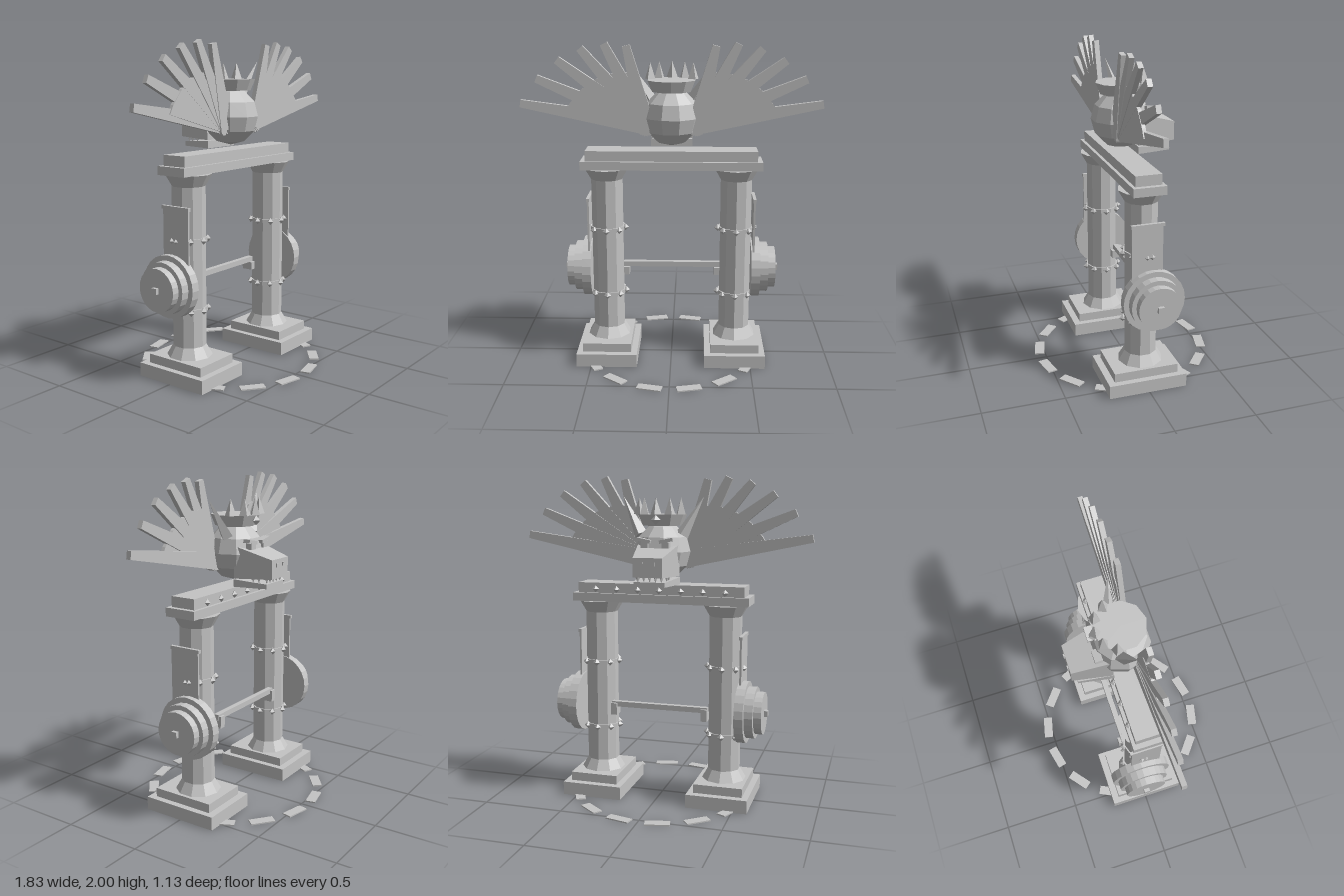
import * as THREE from 'three';

const stone = new THREE.MeshStandardMaterial({ color: 0xc4c4c4 });
stone.name = 'stone grey';

// Adds a faceted mesh to a parent
function add(parent, name, geometry, x = 0, y = 0, z = 0) {
  const g = geometry.index ? geometry.toNonIndexed() : geometry;
  g.computeVertexNormals();
  const mesh = new THREE.Mesh(g, stone);
  mesh.name = name;
  mesh.position.set(x, y, z);
  parent.add(mesh);
  return mesh;
}

// Box given by its limits on each axis
function block(parent, name, x0, x1, y0, y1, z0, z1) {
  return add(parent, name, new THREE.BoxGeometry(x1 - x0, y1 - y0, z1 - z0),
    (x0 + x1) / 2, (y0 + y1) / 2, (z0 + z1) / 2);
}

// Box along z whose two ends differ: each end is [z, halfWidth, yLow, yHigh]
function wedge(parent, name, back, front) {
  const g = new THREE.BoxGeometry(1, 1, 1);
  const p = g.attributes.position;
  for (let i = 0; i < p.count; i++) {
    const [z, w, lo, hi] = p.getZ(i) > 0 ? back : front;
    p.setXYZ(i, Math.sign(p.getX(i)) * w, p.getY(i) > 0 ? hi : lo, z);
  }
  return add(parent, name, g);
}

function stud(parent, name, r, x, y, z) {
  return add(parent, name, new THREE.OctahedronGeometry(r), x, y, z);
}

function plate(parent, name, points, depth, z) {
  const shape = new THREE.Shape(points.map(([x, y]) => new THREE.Vector2(x, y)));
  return add(parent, name,
    new THREE.ExtrudeGeometry(shape, { depth, bevelEnabled: false }), 0, 0, z - depth / 2);
}

// Pillar with stepped foot, studded bands, banner and stacked discs
function pillar(side) {
  const g = new THREE.Group();
  g.name = side > 0 ? 'leftPillar' : 'rightPillar';
  const cx = side * 0.402;
  block(g, 'footSlab', cx - 0.19, cx + 0.19, 0, 0.083, -0.235, 0.25);
  block(g, 'footStep', cx - 0.152, cx + 0.152, 0.083, 0.138, -0.19, 0.208);
  add(g, 'footFlare', new THREE.CylinderGeometry(0.1, 0.138, 0.065, 10), cx, 0.17, 0);
  add(g, 'shaft', new THREE.CylinderGeometry(0.1, 0.1, 1.0, 10), cx, 0.69, 0);
  add(g, 'capital', new THREE.CylinderGeometry(0.14, 0.1, 0.07, 10), cx, 1.2, 0);
  for (const y of [0.425, 0.848]) {
    add(g, 'band', new THREE.CylinderGeometry(0.109, 0.109, 0.026, 10), cx, y, 0);
    for (let i = 0; i < 8; i++) {
      const a = i * Math.PI / 4;
      stud(g, 'bandStud', 0.023, cx + 0.111 * Math.sin(a), y, 0.111 * Math.cos(a));
    }
  }

  // Banner on the outer face
  const b = side * 0.514;
  block(g, 'banner', b - 0.006, b + 0.006, 0.58, 1.04, -0.095, 0.095);
  block(g, 'bannerRod', b - 0.01, b + 0.01, 1.035, 1.055, -0.105, 0.1);
  stud(g, 'bannerNail', 0.018, side * 0.522, 0.85, -0.03);

  // Stacked discs with a square knob
  [[0.19, 0.5, 0.555], [0.158, 0.55, 0.608], [0.13, 0.6, 0.655]].forEach(([r, x0, x1]) => {
    const d = add(g, 'disc', new THREE.CylinderGeometry(r, r, x1 - x0, 24), side * (x0 + x1) / 2, 0.58, -0.035);
    d.rotation.z = Math.PI / 2;
  });
  add(g, 'discKnob', new THREE.BoxGeometry(0.05, 0.036, 0.036), side * 0.652, 0.58, -0.035);

  // Bracket holding the crossbar
  add(g, 'bracket', new THREE.BoxGeometry(0.04, 0.05, 0.07), side * 0.292, 0.54, -0.07);
  add(g, 'bracketLip', new THREE.BoxGeometry(0.04, 0.06, 0.015), side * 0.292, 0.56, -0.1);
  return g;
}

// Fan of six tapering feathers joined by a thinner web
function wing(side) {
  const g = new THREE.Group();
  g.name = side > 0 ? 'leftWing' : 'rightWing';
  const px = 0.15, py = 1.505;
  const at = (angle, along, across) => [
    side * (px + Math.cos(angle) * along - Math.sin(angle) * across),
    py + Math.sin(angle) * along + Math.cos(angle) * across];
  const web = [at(0.17, -0.04, -0.05)];
  for (let i = 0; i < 6; i++) {
    const a = (9.8 + 13.3 * i) * Math.PI / 180;
    const len = 0.77 - 0.056 * i;
    plate(g, 'feather', [at(a, -0.03, -0.056), at(a, len, -0.023), at(a, len, 0.023), at(a, -0.03, 0.056)],
      0.03, 0.051 + 0.004 * i);
    web.push(at(a, len * 0.64, 0));
    if (i < 5) web.push(at(a + 0.116, len * 0.62, 0));
  }
  web.push(at(1.33, -0.03, 0.05));
  plate(g, 'wingWeb', web, 0.022, 0.062);
  return g;
}

function head() {
  const g = new THREE.Group();
  g.name = 'head';
  add(g, 'skull', new THREE.SphereGeometry(0.176, 10, 6), 0, 1.55, 0);
  wedge(g, 'snout', [-0.08, 0.13, 1.405, 1.6], [-0.318, 0.09, 1.415, 1.53]);
  wedge(g, 'lowerJaw', [-0.075, 0.13, 1.355, 1.4], [-0.285, 0.095, 1.357, 1.385]);
  for (let i = -2; i <= 2; i++) {
    const tooth = add(g, 'frontTooth', new THREE.ConeGeometry(0.013, 0.04, 4), i * 0.036, 1.4, -0.272);
    tooth.rotation.x = Math.PI;
  }
  for (const s of [-1, 1]) {
    for (const z of [-0.19, -0.23]) {
      const tooth = add(g, 'sideTooth', new THREE.ConeGeometry(0.012, 0.036, 4), s * 0.092, 1.4, z);
      tooth.rotation.x = Math.PI;
    }
    add(g, 'nostril', new THREE.BoxGeometry(0.022, 0.022, 0.012), s * 0.036, 1.495, -0.319);
    add(g, 'eye', new THREE.BoxGeometry(0.045, 0.035, 0.04), s * 0.065, 1.595, -0.155);
    const brow = add(g, 'brow', new THREE.BoxGeometry(0.085, 0.02, 0.045), s * 0.07, 1.622, -0.155);
    brow.rotation.z = s * 0.2;

    // Ear pointing up and outwards
    const from = new THREE.Vector3(s * 0.13, 1.65, -0.03);
    const to = new THREE.Vector3(s * 0.255, 1.88, 0.015);
    const dir = to.clone().sub(from);
    const ear = add(g, 'ear', new THREE.ConeGeometry(0.042, dir.length(), 4));
    ear.position.copy(from).addScaledVector(dir, 0.5);
    ear.quaternion.setFromUnitVectors(new THREE.Vector3(0, 1, 0), dir.normalize());
  }

  // Crown with spikes along the face side
  add(g, 'crownBand', new THREE.CylinderGeometry(0.15, 0.122, 0.068, 10), 0, 1.74, 0);
  for (let i = -2; i <= 2; i++) {
    const a = i * 0.585;
    const spike = add(g, 'crownSpike', new THREE.ConeGeometry(0.035, 0.1, 4),
      0.142 * Math.sin(a), 1.824, -0.142 * Math.cos(a));
    spike.rotation.y = -a;
  }
  stud(g, 'crownGem', 0.03, 0, 1.742, -0.148);
  return g;
}

export function createModel() {
  const model = new THREE.Group();
  model.name = 'gateway';
  for (const side of [-1, 1]) model.add(pillar(side), wing(side));
  model.add(head());

  // Lintel with studs along the face side
  block(model, 'lintelLower', -0.558, 0.558, 1.235, 1.287, -0.1, 0.1);
  block(model, 'lintelUpper', -0.527, 0.527, 1.287, 1.35, -0.08, 0.08);
  for (let i = -3; i <= 3; i++) stud(model, 'lintelStud', 0.022, i * 0.137, 1.312, -0.086);

  block(model, 'crossbar', -0.31, 0.31, 0.565, 0.598, -0.087, -0.053);

  // Ring of paving tiles on the ground
  for (let i = 0; i < 14; i++) {
    const a = (i + 0.5) * Math.PI / 7;
    const tile = add(model, 'pavingTile', new THREE.BoxGeometry(0.15, 0.008, 0.06),
      0.533 * Math.sin(a), 0.004, 0.533 * Math.cos(a));
    tile.rotation.y = a;
  }
  return model;
}
